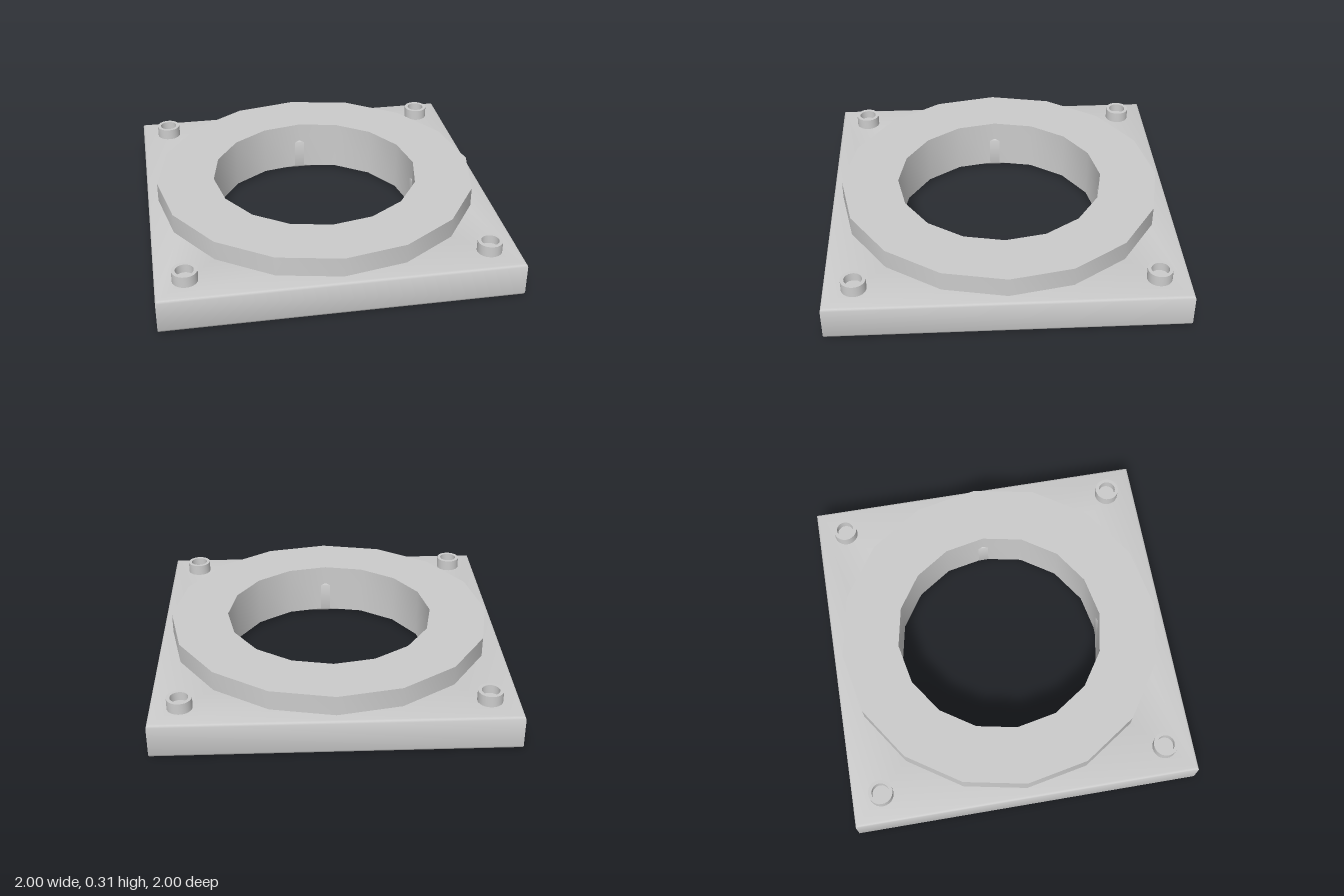
import * as THREE from 'three';
import { toCreasedNormals } from 'three/addons/utils/BufferGeometryUtils.js';

const grey = new THREE.MeshStandardMaterial({ color: 0xcccccc });

function part(name, geometry, crease = 0.6) {
  const mesh = new THREE.Mesh(toCreasedNormals(geometry, crease), grey);
  mesh.name = name;
  return mesh;
}

// Solid of revolution from [radius, height] pairs
function turned(points, sides) {
  return new THREE.LatheGeometry(points.map(([r, y]) => new THREE.Vector2(r, y)), sides);
}

function square(target, h) {
  return target.moveTo(-h, -h).lineTo(h, -h).lineTo(h, h).lineTo(-h, h).closePath();
}

export function createModel() {
  const group = new THREE.Group();
  group.name = 'flangePlate';

  // Square plate with softened edges and a square opening
  const bevel = 0.015, plateTop = 0.2;
  const outline = square(new THREE.Shape(), 1);
  outline.holes.push(square(new THREE.Path(), 0.6));
  const plate = new THREE.ExtrudeGeometry(outline, {
    depth: plateTop - 2 * bevel,
    bevelThickness: bevel, bevelSize: bevel, bevelOffset: -bevel, bevelSegments: 2,
  });
  plate.rotateX(-Math.PI / 2).translate(0, bevel, 0);
  group.add(part('basePlate', plate, 0.9));

  // Sixteen-sided ring set into the plate, slightly recessed underneath
  group.add(part('ring', turned(
    [[0.606, 0.015], [0.94, 0.015], [0.94, 0.315], [0.606, 0.315], [0.606, 0.015]], 16)));

  // Hollow-headed corner bolts
  for (const sx of [-1, 1]) {
    for (const sz of [-1, 1]) {
      const bolt = part('cornerBolt', turned(
        [[0.07, 0.19], [0.07, 0.265], [0.05, 0.265], [0.05, 0.215], [0, 0.215]], 24));
      bolt.position.set(sx * 0.835, 0, sz * 0.83);
      group.add(bolt);
    }
  }
  return group;
}
